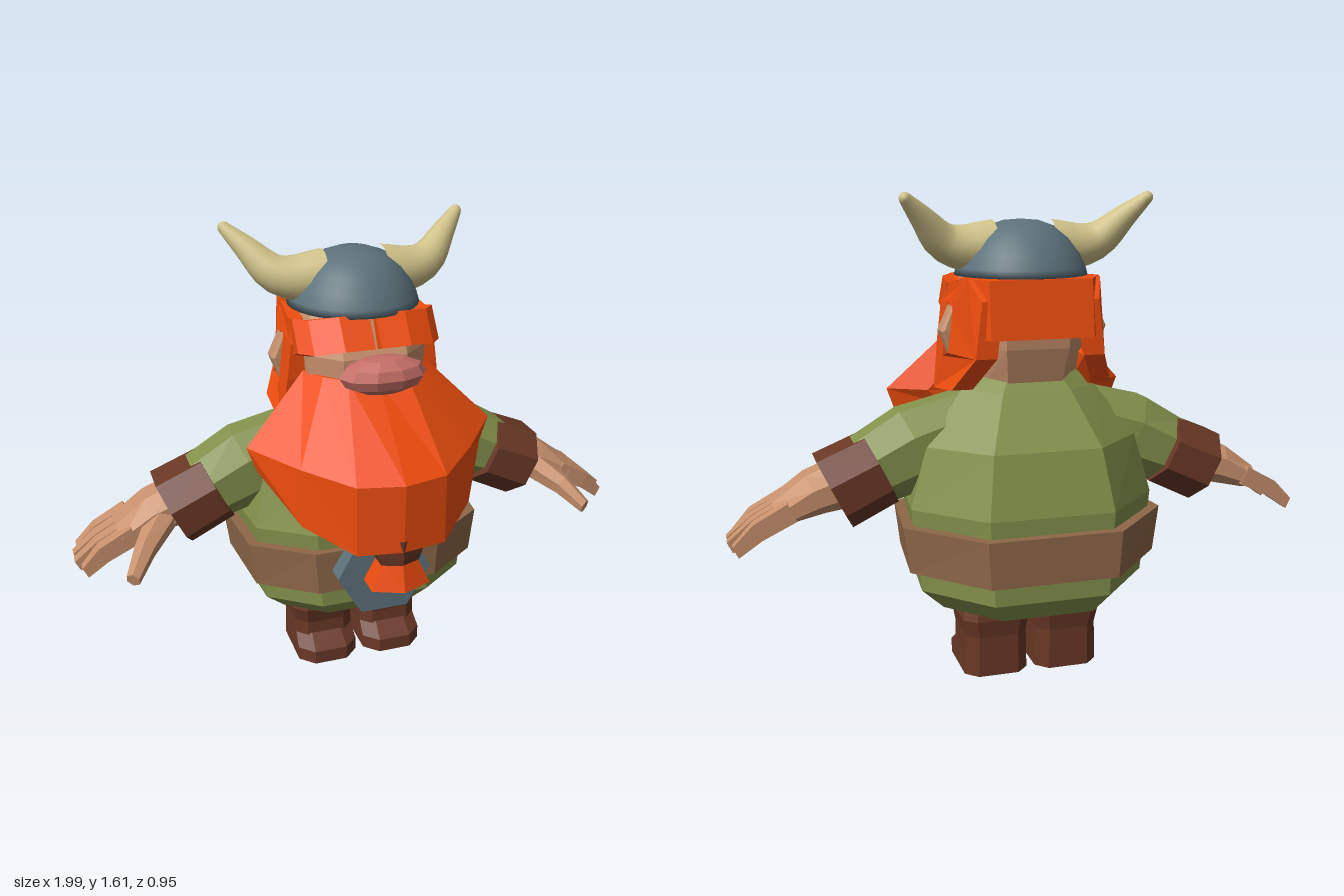
import * as THREE from 'three';

const ORANGE = 0xee4d0e, GREEN = 0x83914b, CUFF = 0x693826, BELT = 0x8f6849;
const SKIN = 0xc6906c, STEEL = 0x5c727b, HORN = 0xcfc188, NOSE = 0xc46e66;

const mat = (color, flat = true) => new THREE.MeshStandardMaterial({ color, flatShading: flat });

function add(parent, name, geo, color, flat = true) {
  const m = new THREE.Mesh(geo, mat(color, flat));
  m.name = name;
  parent.add(m);
  return m;
}

// Capped solid through rings of [x, y, z] points; winding is fixed by its volume
function loft(rings, s = 1) {
  const P = rings.map(r => r.map(p => new THREE.Vector3(p[0] * s, p[1], p[2])));
  const n = P[0].length, tris = [];
  for (let k = 0; k < P.length - 1; k++)
    for (let i = 0; i < n; i++) {
      const j = (i + 1) % n;
      tris.push([P[k][i], P[k][j], P[k + 1][j]], [P[k][i], P[k + 1][j], P[k + 1][i]]);
    }
  const cap = (r, flip) => {
    const c = r.reduce((a, p) => a.add(p), new THREE.Vector3()).divideScalar(n);
    r.forEach((p, i) => tris.push(flip ? [c, r[(i + 1) % n], p] : [c, p, r[(i + 1) % n]]));
  };
  cap(P[0], true);
  cap(P[P.length - 1], false);
  let vol = 0;
  for (const [a, b, c] of tris) vol += a.dot(b.clone().cross(c));
  const pts = tris.flatMap(([a, b, c]) => (vol < 0 ? [a, c, b] : [a, b, c]));
  const g = new THREE.BufferGeometry().setFromPoints(pts);
  g.computeVertexNormals();
  return g;
}

// Eight-sided torso section: half width, front z, back z
function oct(y, w, zf, zb) {
  const z = t => zb + (zf - zb) * t;
  const half = [[w * 0.5, y, zf], [w * 0.94, y, z(0.8)], [w, y, z(0.34)], [w * 0.5, y, zb]];
  return [...half, ...half.map(([x, , pz]) => [-x, y, pz]).reverse()];
}

// Chamfered rectangle in the ground plane
const rect = (y, x0, x1, z0, z1, c = 0.04) => [
  [x0 + c, y, z0], [x1 - c, y, z0], [x1, y, z0 + c], [x1, y, z1 - c],
  [x1 - c, y, z1], [x0 + c, y, z1], [x0, y, z1 - c], [x0, y, z0 + c]];

// Polygon section across the arm; h and d are half extents along u and v
const UP = [0.44, 0.9, 0], Z = [0, 0, 1];
function section(c, h, d, n = 8, u = UP, v = Z) {
  return Array.from({ length: n }, (_, i) => {
    const a = ((i + 0.5) / n) * Math.PI * 2, k = 1 / Math.cos(Math.PI / n);
    return c.map((q, j) => q + k * (u[j] * h * Math.cos(a) + v[j] * d * Math.sin(a)));
  });
}

// Full ring from a half list running from the centre line outward
const mirrored = half => [...half, ...half.slice(1).map(([x, y, z]) => [-x, y, z]).reverse()];

function buildArm(parent, s) {
  const arm = new THREE.Group();
  arm.name = s > 0 ? 'leftArm' : 'rightArm';
  parent.add(arm);
  const part = (name, rings, color) => add(arm, name, loft(rings, s), color);
  part('sleeve', [section([0.17, 0.86, -0.1], 0.12, 0.1), section([0.37, 0.79, -0.1], 0.14, 0.115),
    section([0.54, 0.715, -0.1], 0.115, 0.115)], GREEN);
  part('cuff', [section([0.495, 0.73, -0.1], 0.12, 0.145), section([0.65, 0.66, -0.1], 0.125, 0.152)], CUFF);
  part('palm', [section([0.6, 0.69, -0.1], 0.085, 0.095), section([0.71, 0.66, -0.1], 0.07, 0.1),
    section([0.83, 0.605, -0.097], 0.042, 0.108)], SKIN);
  [-0.18, -0.125, -0.07, -0.016].forEach((z, i) => {
    const end = [0.97, 0.985, 0.985, 0.965][i];
    part('finger' + (i + 1), [section([0.79, 0.625, z], 0.033, 0.026, 4),
      section([0.9, 0.568, z], 0.03, 0.024, 4), section([end, 0.508, z * 1.03], 0.02, 0.018, 4)], SKIN);
  });
  const across = [0.72, -0.35, -0.6];
  part('thumb', [section([0.69, 0.655, -0.04], 0.045, 0.05, 6, UP, across),
    section([0.77, 0.6, 0.07], 0.033, 0.033, 6, UP, across),
    section([0.825, 0.54, 0.15], 0.022, 0.022, 6, UP, across)], SKIN);
}

function buildBoot(parent, s) {
  const boot = new THREE.Group();
  boot.name = s > 0 ? 'leftBoot' : 'rightBoot';
  parent.add(boot);
  add(boot, 'shaft', loft([rect(0, 0.015, 0.235, -0.235, -0.01), rect(0.14, 0.018, 0.232, -0.235, -0.015),
    rect(0.2, 0.01, 0.242, -0.245, 0.0), rect(0.26, 0.02, 0.23, -0.235, -0.01),
    rect(0.33, 0.02, 0.23, -0.235, -0.01)], s), CUFF);
  add(boot, 'toe', loft([rect(0, 0.015, 0.235, -0.2, 0.05, 0.05), rect(0.05, 0.015, 0.235, -0.2, 0.05, 0.05),
    rect(0.095, 0.02, 0.23, -0.2, -0.01, 0.05)], s), CUFF);
}

// Side hair panel with a slot for the ear
function buildSideHair(parent, s) {
  const side = s > 0 ? 'left' : 'right';
  const shape = new THREE.Shape([[0.045, 1.25], [0.0, 1.32], [-0.23, 1.345], [-0.3, 1.28], [-0.3, 1.1],
    [-0.21, 0.99], [0.02, 0.96], [0.045, 1.13]].map(p => new THREE.Vector2(...p)));
  shape.holes.push(new THREE.Path([[-0.055, 1.08], [-0.055, 1.26], [-0.13, 1.24], [-0.13, 1.1]]
    .map(p => new THREE.Vector2(...p))));
  const g = new THREE.ExtrudeGeometry(shape, { depth: 0.07, bevelEnabled: false });
  g.rotateY(-Math.PI / 2).translate(s > 0 ? 0.25 : -0.18, 0, 0);
  const p = g.attributes.position;
  for (let i = 0; i < p.count; i++) {
    const bend = (1.22 - p.getY(i)) * 0.12 - Math.max(0, -0.2 - p.getZ(i)) * 0.5;
    p.setX(i, p.getX(i) + s * bend);
  }
  g.computeVertexNormals();
  add(parent, side + 'Hair', g, ORANGE);
  add(parent, side + 'Ear', loft([rect(1.09, 0.17, 0.255, -0.125, -0.06, 0.01),
    rect(1.17, 0.17, 0.285, -0.13, -0.058, 0.01), rect(1.25, 0.17, 0.25, -0.125, -0.06, 0.01)], s), SKIN);
  // Brow, wrapping around the forehead
  const brow = [[0.01, 0, 0], [0.11, 0, 0], [0.2, -0.015, -0.04], [0.24, -0.02, -0.09]].map(([x, dy, dz]) =>
    [[x, 1.26 + dy, 0.2 + dz], [x, 1.355 + dy, 0.13 + dz], [x, 1.335 + dy, 0.06 + dz], [x, 1.235 + dy, 0.13 + dz]]);
  add(parent, side + 'Brow', loft(brow, s), ORANGE);
}

// Smooth tapered horn swept along three bends
function buildHorn(parent, s) {
  const curve = new THREE.CatmullRomCurve3([[0.1, 1.435, -0.075], [0.2, 1.435, -0.078], [0.265, 1.455, -0.088],
    [0.34, 1.53, -0.13], [0.405, 1.595, -0.172]].map(p => new THREE.Vector3(...p)));
  const N = 12, R = 16;
  const g = new THREE.TubeGeometry(curve, N, 1, R, false);
  const p = g.attributes.position, c = new THREE.Vector3(), v = new THREE.Vector3();
  for (let i = 0; i < p.count; i++) {
    const t = Math.floor(i / (R + 1)) / N;
    curve.getPointAt(t, c);
    v.fromBufferAttribute(p, i).sub(c).multiplyScalar(0.088 - 0.068 * t ** 1.2).add(c);
    p.setXYZ(i, v.x, v.y, v.z);
  }
  g.computeVertexNormals();
  const horn = add(parent, s > 0 ? 'leftHorn' : 'rightHorn', g, HORN, false);
  const tip = add(parent, s > 0 ? 'leftHornTip' : 'rightHornTip', new THREE.SphereGeometry(0.02, 12, 8), HORN, false);
  horn.scale.x = s;
  tip.position.set(0.403 * s, 1.593, -0.171);
}

export function createModel() {
  const g = new THREE.Group();
  g.name = 'bearded warrior';

  // Torso, belt and buckle
  add(g, 'tunic', loft([oct(0.26, 0.31, 0.12, -0.39), oct(0.33, 0.385, 0.18, -0.44), oct(0.61, 0.415, 0.18, -0.44),
    oct(0.81, 0.36, 0.125, -0.385), oct(0.98, 0.23, 0.05, -0.26), oct(1.03, 0.17, 0.02, -0.22)]), GREEN);
  add(g, 'belt', loft([oct(0.4, 0.425, 0.205, -0.47), oct(0.555, 0.445, 0.205, -0.472)]), BELT);
  const buckle = new THREE.CylinderGeometry(0.165, 0.165, 0.068, 6).rotateY(Math.PI / 6).rotateX(Math.PI / 2);
  add(g, 'buckle', buckle, STEEL).position.set(0, 0.485, 0.24);

  // Head and nose
  add(g, 'head', loft([oct(0.95, 0.17, 0.08, -0.22), oct(1.12, 0.21, 0.17, -0.27), oct(1.22, 0.215, 0.17, -0.28),
    oct(1.3, 0.21, 0.13, -0.27), oct(1.38, 0.17, 0.09, -0.23)]), SKIN);
  const nose = new THREE.SphereGeometry(1, 10, 6).scale(0.145, 0.062, 0.08);
  add(g, 'nose', nose, NOSE).position.set(0, 1.19, 0.242);

  // Hair band around the back of the head
  add(g, 'backHair', loft([[0.235, -0.2], [0.17, -0.325], [-0.17, -0.325], [-0.235, -0.2]].map(([x, z]) =>
    [[x, 1.16, z], [x, 1.345, z + 0.025], [x * 0.8, 1.345, z + 0.08], [x * 0.8, 1.18, z + 0.07]])), ORANGE);

  // Beard with its tied tail
  add(g, 'beard', loft([
    mirrored([[0, 1.15, 0.2], [0.1, 1.16, 0.19], [0.165, 1.16, 0.13], [0.21, 1.16, 0.05], [0.17, 1.08, 0]]),
    mirrored([[0, 0.9, 0.465], [0.15, 0.9, 0.43], [0.29, 0.92, 0.29], [0.425, 0.945, 0.125], [0.3, 0.95, 0.03]]),
    mirrored([[0, 0.66, 0.455], [0.15, 0.66, 0.43], [0.29, 0.72, 0.295], [0.395, 0.86, 0.13], [0.25, 0.9, 0.03]]),
  ]), ORANGE);
  const flat = (y, w, d) => section([0, y, 0.39], w, d, 6, [1, 0, 0], Z);
  add(g, 'beardTie', loft([flat(0.605, 0.065, 0.05), flat(0.635, 0.075, 0.055), flat(0.7, 0.085, 0.06)]), CUFF);
  add(g, 'beardTail', loft([flat(0.52, 0.1, 0.072), flat(0.61, 0.06, 0.05)]), ORANGE);

  // Helmet dome
  const dome = [[0, 1.35], [0.222, 1.345], [0.215, 1.37], [0.195, 1.415], [0.16, 1.465], [0.115, 1.5], [0.06, 1.52],
    [0, 1.525]].map(p => new THREE.Vector2(...p));
  const helmet = add(g, 'helmet', new THREE.LatheGeometry(dome, 32), STEEL, false);
  helmet.position.z = -0.07;

  for (const s of [1, -1]) {
    buildArm(g, s);
    buildBoot(g, s);
    buildSideHair(g, s);
    buildHorn(g, s);
  }
  return g;
}
